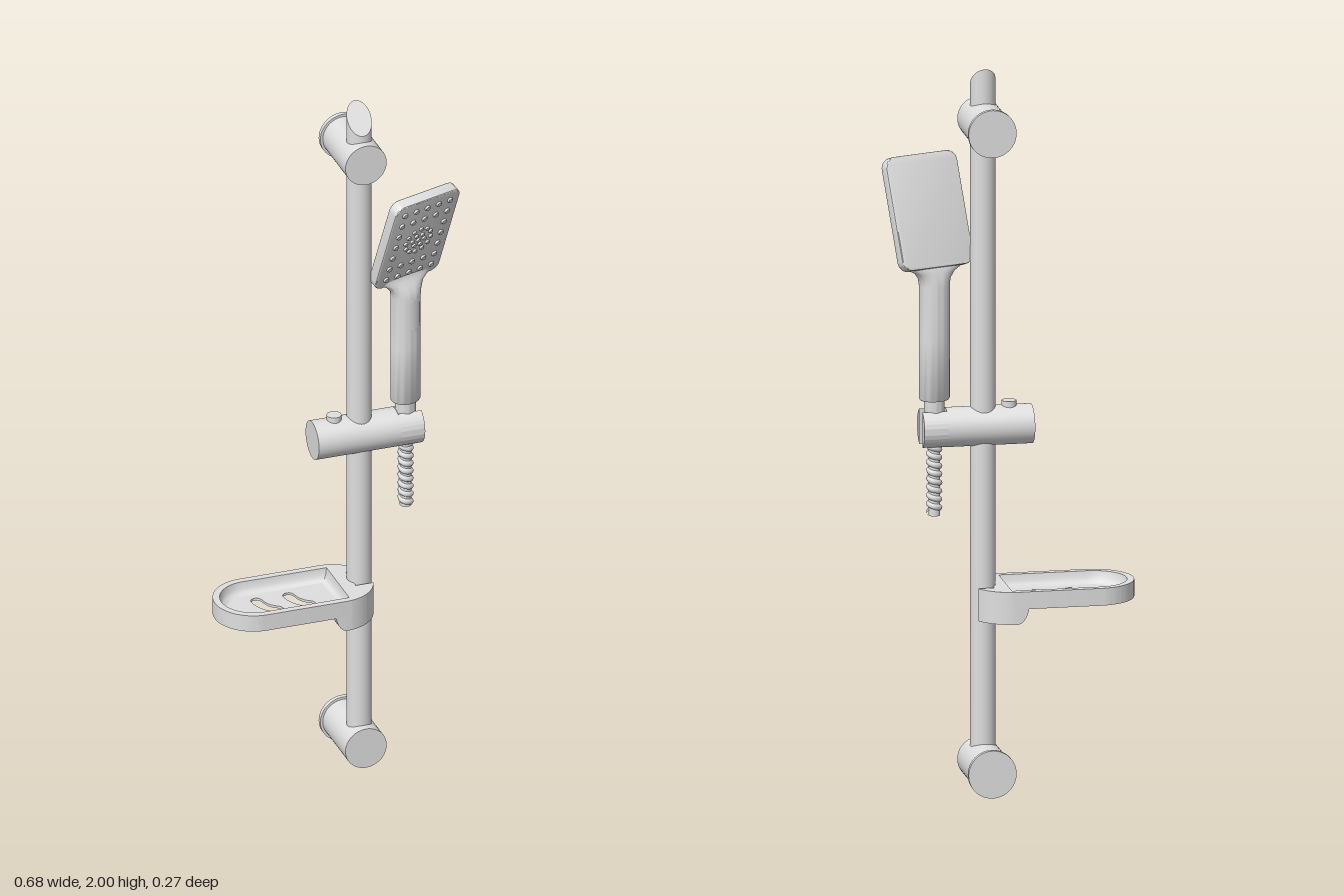
import * as THREE from 'three';
import { toCreasedNormals } from 'three/addons/utils/BufferGeometryUtils.js';

const chrome = new THREE.MeshStandardMaterial({ color: 0xdfdfdf });
chrome.name = 'chrome grey';

const V2 = (x, y) => new THREE.Vector2(x, y);

function add(parent, name, geometry, x = 0, y = 0, z = 0) {
  const mesh = new THREE.Mesh(geometry, chrome);
  mesh.name = name;
  mesh.position.set(x, y, z);
  parent.add(mesh);
}

// Skin through equal-length loops of [x, y, z] points
function loft(rings, crease = 0.7) {
  const n = rings[0].length, index = [];
  for (let r = 0; r < rings.length - 1; r++) {
    for (let i = 0; i < n; i++) {
      const a = r * n + i, b = r * n + (i + 1) % n;
      index.push(a, a + n, b, b, a + n, b + n);
    }
  }
  const g = new THREE.BufferGeometry();
  g.setAttribute('position', new THREE.Float32BufferAttribute(rings.flat(2), 3));
  g.setIndex(index);
  g.computeVertexNormals();
  return toCreasedNormals(g, crease);
}

function extrude(shape, depth, options = {}) {
  const g = new THREE.ExtrudeGeometry(shape, { depth, bevelEnabled: false, curveSegments: 24, ...options });
  return toCreasedNormals(g, 0.5);
}

// Plan shape (x, z) extruded downwards from y = 0
const slab = (shape, depth) => extrude(shape, depth).rotateX(Math.PI / 2);

function roundedRect(w, h, r) {
  const s = new THREE.Shape(), x = w / 2 - r, y = h / 2 - r;
  s.absarc(x, y, r, 0, Math.PI / 2);
  s.absarc(-x, y, r, Math.PI / 2, Math.PI);
  s.absarc(-x, -y, r, Math.PI, Math.PI * 1.5);
  s.absarc(x, -y, r, Math.PI * 1.5, Math.PI * 2);
  return s;
}

const RAIL_X = 0.075, RAIL_Z = 0.006;

function buildRail(root) {
  // Rail with a slanted top cut
  const g = new THREE.CylinderGeometry(0.034, 0.034, 1.9, 40);
  const p = g.attributes.position, n = g.attributes.normal;
  for (let i = 0; i < p.count; i++) {
    p.setY(i, p.getY(i) > 0 ? 1.9616 - p.getZ(i) * 1.13 : 0.06);
    if (n.getY(i) > 0.5) n.setXYZ(i, 0, 0.663, 0.749);
  }
  add(root, 'rail', g, RAIL_X, 0, RAIL_Z);

  // Wall brackets with rear flanges
  for (const [name, y] of [['lowerBracket', 0.066], ['upperBracket', 1.845]]) {
    const bracket = new THREE.Group();
    bracket.name = name;
    bracket.position.set(RAIL_X, y, 0.002);
    add(bracket, 'bracketBody', new THREE.CylinderGeometry(0.059, 0.059, 0.185, 48).rotateX(Math.PI / 2), 0, 0, -0.033);
    add(bracket, 'wallFlange', new THREE.CylinderGeometry(0.066, 0.066, 0.013, 48).rotateX(Math.PI / 2), 0, 0, -0.1285);
    root.add(bracket);
  }
}

function buildSlider(root) {
  const slider = new THREE.Group();
  slider.name = 'slider';
  slider.position.set(0.003, 1.003, RAIL_Z);
  add(slider, 'sliderBody', new THREE.CylinderGeometry(0.054, 0.054, 0.237, 48).rotateZ(Math.PI / 2), 0.0565);
  // Front and rear jaws, with a slot open at the end
  for (const middle of [0, Math.PI]) {
    const jaw = new THREE.Shape();
    jaw.absarc(0, 0, 0.054, middle - 1.13, middle + 1.13);
    add(slider, 'holderJaw', extrude(jaw, 0.067).rotateY(Math.PI / 2), 0.175);
  }
  add(slider, 'lockKnob', new THREE.CylinderGeometry(0.02, 0.02, 0.03, 32), 0, 0.052, 0);
  root.add(slider);
}

function buildHandShower(root) {
  const shower = new THREE.Group();
  shower.name = 'handShower';
  shower.position.set(0.208, 0, RAIL_Z);
  shower.rotation.y = 0.31;

  // Oval handle flaring into the head: [y, half width, half depth, z]
  const W = 0.043, D = 0.037;
  const sections = [
    [1.082, 0.001, 0.001, 0], [1.082, 0.04, 0.034, 0], [1.087, W, D, 0], [1.25, W, D, 0],
    [1.40, W, D, 0], [1.42, 0.047, 0.034, 0], [1.437, 0.06, 0.027, -0.003],
    [1.45, 0.082, 0.021, -0.005], [1.465, 0.1, 0.014, -0.005], [1.48, 0.104, 0.01, 0], [1.48, 0.001, 0.001, 0],
  ];
  add(shower, 'handle', loft(sections.map(([y, w, d, z]) => Array.from({ length: 40 }, (_, i) => {
    const a = i / 40 * Math.PI * 2;
    return [w * Math.cos(a), y, z + d * Math.sin(a)];
  }))));

  // Oval button hugging the front of the handle
  const button = new THREE.PlaneGeometry(2, 0.1, 12, 20);
  const p = button.attributes.position;
  for (let i = 0; i < p.count; i++) {
    const end = Math.max(0, Math.abs(p.getY(i)) - 0.028);
    const x = p.getX(i) * Math.sqrt(Math.max(0, 0.022 ** 2 - end ** 2));
    p.setX(i, x);
    p.setZ(i, D * Math.sqrt(1 - (x / W) ** 2) + 0.0015);
  }
  button.computeVertexNormals();
  add(shower, 'button', button, 0, 1.35, 0);

  // Tilted spray head
  const head = new THREE.Group();
  head.name = 'sprayHead';
  head.position.set(0, 1.596, 0.039);
  head.rotation.x = 0.35;
  add(head, 'headBody', extrude(roundedRect(0.208, 0.302, 0.024), 0.024,
    { bevelEnabled: true, bevelThickness: 0.005, bevelSize: 0.005, bevelSegments: 3, curveSegments: 10 }), 0, 0, -0.012);

  // Nozzles: an outer grid around a dense round cluster
  const spots = [];
  for (let r = -3; r <= 3; r++) {
    for (let c = -2; c <= 2; c++) {
      const x = c * 0.038, y = r * 0.041;
      if (Math.hypot(x, y) > 0.065) spots.push([x, y, 0.009]);
    }
  }
  for (const [count, radius] of [[1, 0], [6, 0.02], [12, 0.042]]) {
    for (let i = 0; i < count; i++) {
      const a = i / count * Math.PI * 2;
      spots.push([radius * Math.cos(a), radius * Math.sin(a), 0.007]);
    }
  }
  for (const [x, y, r] of spots) {
    add(head, 'nozzle', new THREE.CylinderGeometry(r * 0.8, r, 0.006, 14).rotateX(Math.PI / 2), x, y, 0.019);
  }
  shower.add(head);

  // Hose nut, cone and spiral hose
  const cone = [[0, 0.945], [0.02, 0.945], [0.028, 1.05], [0.028, 1.085]].map(([x, y]) => V2(x, y));
  add(shower, 'hoseCone', toCreasedNormals(new THREE.LatheGeometry(cone, 32), 0.5));
  add(shower, 'hoseCore', new THREE.CylinderGeometry(0.016, 0.016, 0.2, 20), 0, 0.86, 0);
  const helix = Array.from({ length: 97 }, (_, i) => {
    const a = i / 12 * Math.PI * 2;
    return new THREE.Vector3(0.013 * Math.cos(a), 0.768 + i / 96 * 0.185, 0.013 * Math.sin(a));
  });
  add(shower, 'hoseSpiral', new THREE.TubeGeometry(new THREE.CatmullRomCurve3(helix), 160, 0.009, 8));
  root.add(shower);
}

function buildSoapDish(root) {
  const dish = new THREE.Group();
  dish.name = 'soapDish';
  dish.position.set(0.001, 0, 0.002);
  const zc = 0.0125, R = 0.11, xl = -0.232, xr = -0.005, H = Math.PI / 2;

  // Right end with a channel for the rail
  const clipEnd = (s) => {
    s.absarc(xr, zc, R, -H, Math.asin(-0.0485 / R));
    s.lineTo(0.05, -0.036);
    s.lineTo(0.05, 0.044);
    s.absarc(xr, zc, R, Math.asin(0.0315 / R), H);
    return s;
  };
  // Inner outline, moved inwards by a margin
  const inner = (m) => {
    const r = 0.091 - m, pts = [V2(0.01 - m, zc - r), V2(0.01 - m, zc + r)];
    for (let i = 0; i <= 24; i++) {
      const a = H + i / 24 * Math.PI;
      pts.push(V2(xl + r * Math.cos(a), zc + r * Math.sin(a)));
    }
    return pts;
  };

  const rim = clipEnd(new THREE.Shape());
  rim.absarc(xl, zc, R, H, 3 * H);
  rim.holes.push(new THREE.Path(inner(0)));
  add(dish, 'dishRim', slab(rim, 0.048), 0, 0.56, 0);

  // Rounded inner wall
  const levels = [[0, 0.56], [0.003, 0.542], [0.009, 0.532], [0.02, 0.527]];
  add(dish, 'dishBowl', loft(levels.map(([m, y]) => inner(m).map((p) => [p.x, y, p.y]))));

  // Floor with two curved drain slots
  const floor = new THREE.Shape(inner(0));
  for (const dx of [0, 0.092]) {
    const curve = new THREE.QuadraticBezierCurve(V2(-0.211 + dx, -0.021), V2(-0.206 + dx, 0.023), V2(-0.173 + dx, 0.041));
    const left = [], right = [];
    for (let i = 0; i <= 12; i++) {
      const p = curve.getPoint(i / 12), t = curve.getTangent(i / 12);
      left.push(V2(p.x - t.y * 0.016, p.y + t.x * 0.016));
      right.unshift(V2(p.x + t.y * 0.016, p.y - t.x * 0.016));
    }
    const cap = (end, sign) => {
      const p = curve.getPoint(end), t = curve.getTangent(end), a0 = Math.atan2(t.y, t.x) + sign * H;
      return [1, 2, 3, 4, 5].map((i) => {
        const a = a0 - i / 6 * Math.PI;
        return V2(p.x + 0.016 * Math.cos(a), p.y + 0.016 * Math.sin(a));
      });
    };
    floor.holes.push(new THREE.Path([...left, ...cap(1, 1), ...right, ...cap(0, -1)]));
  }
  add(dish, 'dishFloor', slab(floor, 0.007), 0, 0.527, 0);

  // Deeper clip block with a rounded lead-in
  add(dish, 'railClip', slab(clipEnd(new THREE.Shape()), 0.043), 0, 0.513, 0);
  const lead = new THREE.Shape();
  lead.moveTo(xr, 0.513);
  lead.lineTo(-0.034, 0.513);
  lead.quadraticCurveTo(-0.027, 0.476, xr, 0.47);
  add(dish, 'clipLeadIn', extrude(lead, 2 * R), 0, 0, zc - R);
  root.add(dish);
}

export function createModel() {
  const root = new THREE.Group();
  root.name = 'showerRailSet';
  buildRail(root);
  buildSlider(root);
  buildHandShower(root);
  buildSoapDish(root);
  return root;
}
